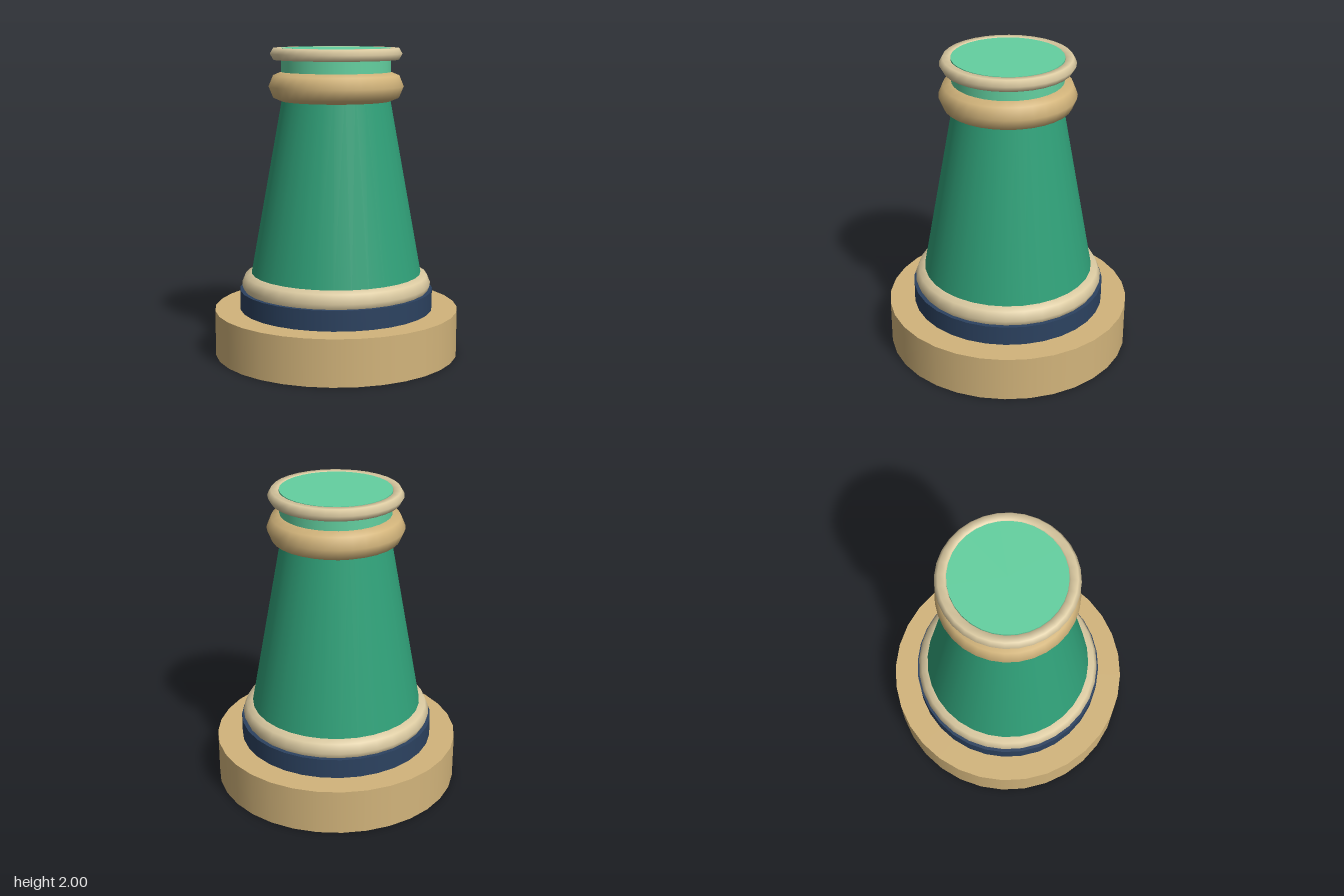
import * as THREE from 'three';

const SIDES = 32;

export function createModel() {
  const group = new THREE.Group();
  const paint = (name, color) => {
    const m = new THREE.MeshStandardMaterial({ color });
    m.name = name;
    return m;
  };
  const tan = paint('tan', 0xd2b47b);
  const cream = paint('cream', 0xdccba2);
  const navy = paint('navy', 0x2c4260);
  const green = paint('green', 0x30a179);
  const mint = paint('mint', 0x63d0a0);

  const add = (name, geometry, material, y) => {
    const mesh = new THREE.Mesh(geometry, material);
    mesh.name = name;
    mesh.position.y = y;
    group.add(mesh);
  };
  // Upright drum between two heights
  const drum = (name, material, rTop, rBottom, y0, y1) =>
    add(name, new THREE.CylinderGeometry(rTop, rBottom, y1 - y0, SIDES), material, (y0 + y1) / 2);
  // Horizontal bead wrapped around the axis
  const ring = (name, material, radius, tube, y, tubeSides) =>
    add(name, new THREE.TorusGeometry(radius, tube, tubeSides, SIDES).rotateX(-Math.PI / 2), material, y);

  // Stepped foot
  drum('base', tan, 0.8, 0.8, 0, 0.3);
  drum('plinth', navy, 0.634, 0.634, 0.3, 0.43);
  ring('lowerRing', cream, 0.542, 0.08, 0.465, 8);

  // Tapered body and collar
  drum('body', green, 0.335, 0.577, 0.43, 1.755);
  ring('collar', tan, 0.336, 0.1, 1.755, 8);

  // Neck with its rim
  drum('neck', mint, 0.354, 0.354, 1.755, 2);
  ring('rim', cream, 0.383, 0.043, 1.963, 6);

  return group;
}
